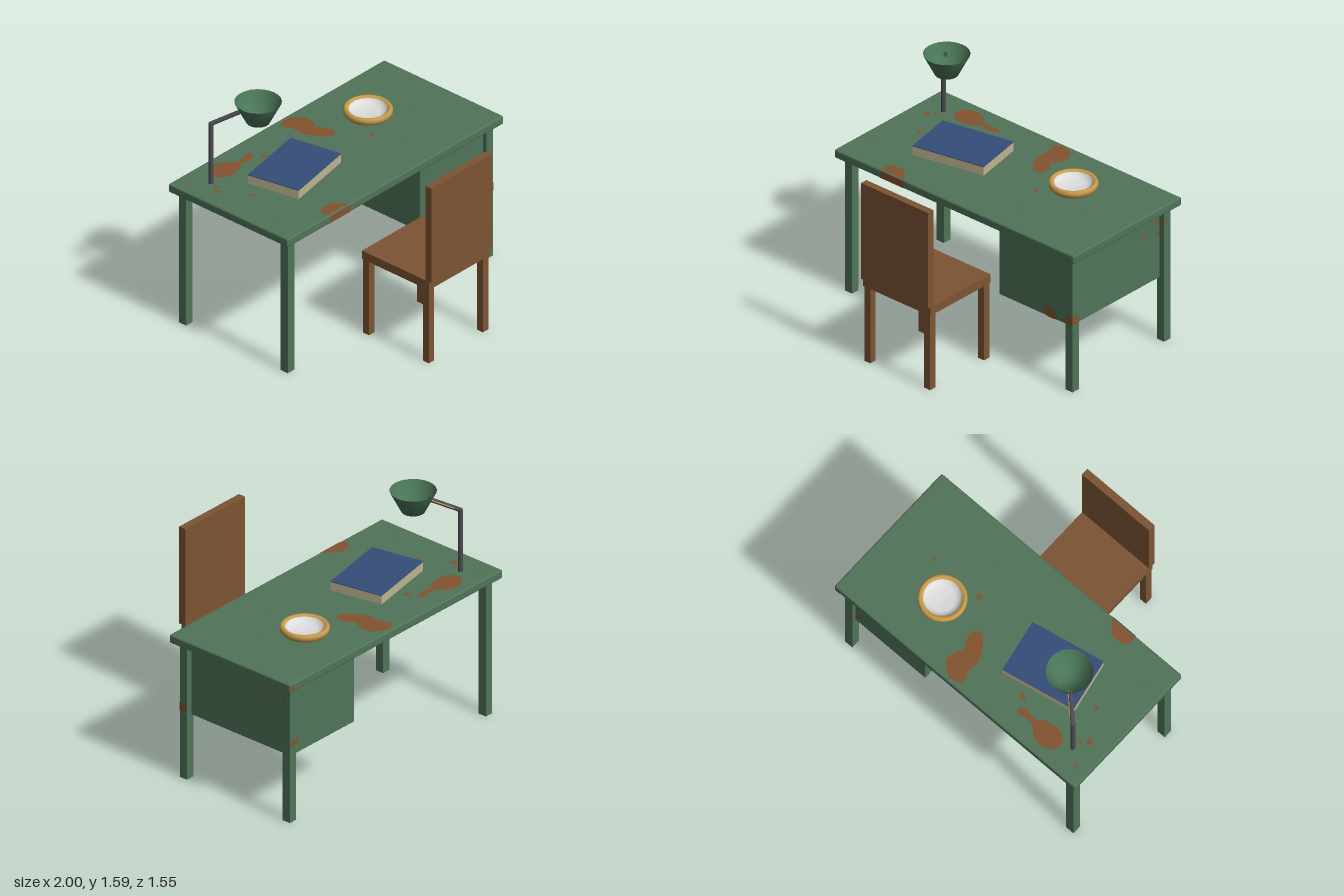
import * as THREE from 'three';
import { RoundedBoxGeometry } from 'three/addons/geometries/RoundedBoxGeometry.js';

const mat = (name, color, side = THREE.FrontSide) => {
  const m = new THREE.MeshStandardMaterial({ color, side });
  m.name = name;
  return m;
};

export function createModel() {
  const M = {
    green: mat('green paint', 0x507459),
    shade: mat('lamp green', 0x4a7657, THREE.DoubleSide),
    rust: mat('rust', 0x83542f, THREE.DoubleSide),
    wood: mat('brown wood', 0x7d5433),
    metal: mat('dark metal', 0x4b4a50),
    gold: mat('gold', 0xc79b4c, THREE.DoubleSide),
    white: mat('white', 0xdedede, THREE.DoubleSide),
    paper: mat('paper', 0xc0b491),
    blue: mat('blue cover', 0x344e78),
  };
  const group = (name, parent) => {
    const g = new THREE.Group();
    g.name = name;
    parent.add(g);
    return g;
  };
  const add = (parent, name, geo, material, x = 0, y = 0, z = 0) => {
    const m = new THREE.Mesh(geo, material);
    m.name = name;
    m.position.set(x, y, z);
    parent.add(m);
    return m;
  };
  // Box given by its limits, with optional rounded edges
  const box = (parent, name, material, [x0, x1], [y0, y1], [z0, z1], r = 0) => {
    const s = [x1 - x0, y1 - y0, z1 - z0];
    const geo = r ? new RoundedBoxGeometry(...s, 2, r) : new THREE.BoxGeometry(...s);
    return add(parent, name, geo, material, (x0 + x1) / 2, (y0 + y1) / 2, (z0 + z1) / 2);
  };
  // Round bar between two points
  const bar = (parent, name, material, a, b, r) => {
    const d = b.clone().sub(a);
    const m = add(parent, name, new THREE.CylinderGeometry(r, r, d.length(), 12), material);
    m.position.copy(a).addScaledVector(d, 0.5);
    m.quaternion.setFromUnitVectors(new THREE.Vector3(0, 1, 0), d.normalize());
  };

  const root = new THREE.Group();
  root.name = 'deskAndChair';

  // Desk
  const desk = group('desk', root);
  box(desk, 'deskTop', M.green, [-1, 1], [0.95, 1.01], [-0.775, 0.225], 0.012);
  box(desk, 'drawerCabinet', M.green, [0.31, 0.91], [0.445, 0.94], [-0.7, 0.15], 0.006);
  for (const x of [-0.92, 0.92]) for (const z of [0.15, -0.7])
    box(desk, 'deskLeg', M.green, [x - 0.03, x + 0.03], [0, 0.95], [z - 0.03, z + 0.03]);

  // Rust patches: flat shapes laid on a face
  const rust = group('rustPatches', desk);
  const blob = (pts, smooth = true) => {
    const v = pts.map(p => new THREE.Vector2(...p));
    if (!smooth) return new THREE.ShapeGeometry(new THREE.Shape(v));
    const c = new THREE.CatmullRomCurve3(v.map(p => new THREE.Vector3(p.x, p.y, 0)), true);
    return new THREE.ShapeGeometry(new THREE.Shape(c.getPoints(40).slice(0, -1).map(p => new THREE.Vector2(p.x, p.y))));
  };
  const spot = (x, y, r) => blob([[x - r, y], [x - r * 0.3, y + r * 0.8], [x + r, y + r * 0.6],
    [x + r * 0.7, y - r * 0.5], [x - r * 0.2, y - r]]);
  // Points in (x, z), (x, y) and (z, y) respectively
  const onLevel = (geo, y) => { add(rust, 'rustPatch', geo, M.rust, 0, y, 0).rotation.x = Math.PI / 2; };
  const onFront = (geo, z) => add(rust, 'rustPatch', geo, M.rust, 0, 0, z);
  const onSide = (geo, x) => { add(rust, 'rustPatch', geo, M.rust, x, 0, 0).rotation.y = -Math.PI / 2; };

  const topPatches = [
    blob([[-0.75, -0.64], [-0.71, -0.69], [-0.64, -0.71], [-0.58, -0.69], [-0.525, -0.64], [-0.455, -0.635],
      [-0.4, -0.645], [-0.39, -0.61], [-0.445, -0.585], [-0.52, -0.6], [-0.56, -0.57], [-0.64, -0.55], [-0.72, -0.57]]),
    blob([[-0.02, -0.72], [0.04, -0.75], [0.09, -0.74], [0.155, -0.675], [0.15, -0.6], [0.12, -0.55],
      [0.16, -0.48], [0.15, -0.415], [0.11, -0.4], [0.04, -0.47], [0, -0.56], [0.005, -0.64]]),
    blob([[-0.62, 0.215], [-0.62, 0.16], [-0.58, 0.125], [-0.5, 0.13], [-0.46, 0.17], [-0.42, 0.215]], false),
    ...[[-0.91, -0.67, 0.012], [-0.87, -0.485, 0.022], [-0.36, -0.545, 0.022], [-0.83, -0.53, 0.014],
      [0.28, -0.23, 0.019], [0.655, -0.23, 0.012], [-0.75, -0.29, 0.016], [0.36, -0.01, 0.009],
      [-0.88, 0.01, 0.009]].map(p => spot(...p)),
  ];
  for (const geo of topPatches) {
    onLevel(geo, 1.012);
    onLevel(geo, 0.948);
  }
  onFront(blob([[-0.62, 0.955], [-0.42, 0.955], [-0.42, 1.005], [-0.61, 1.005]], false), 0.227);
  onFront(blob([[0.95, 0.955], [0.995, 0.955], [0.995, 1], [0.96, 1]], false), -0.777);
  onFront(blob([[0.68, 0.48], [0.7, 0.515], [0.74, 0.515], [0.8, 0.465], [0.79, 0.45], [0.7, 0.45]]), 0.152);
  onFront(blob([[0.89, 0.48], [0.95, 0.47], [0.95, 0.53], [0.91, 0.54], [0.89, 0.53]], false), 0.182);
  onFront(spot(0.92, 0.55, 0.028), -0.732);
  onFront(spot(0.87, 0.54, 0.035), -0.702);
  onSide(blob([[0.12, 0.52], [0.14, 0.47], [0.18, 0.48], [0.18, 0.53], [0.13, 0.535]], false), 0.952);
  onSide(spot(-0.685, 0.86, 0.014), 0.952);
  onSide(spot(-0.717, 0.43, 0.012), 0.952);
  onSide(spot(-0.655, 0.85, 0.025), 0.912);
  onSide(spot(-0.655, 0.76, 0.02), 0.912);
  onSide(spot(-0.525, 0.8, 0.015), 0.912);
  onLevel(spot(0.73, -0.365, 0.06), 0.443);

  // Chair, with its back away from the desk
  const chair = group('chair', root);
  box(chair, 'seat', M.wood, [-0.28, 0.28], [0.535, 0.595], [0.195, 0.755]);
  box(chair, 'backrest', M.wood, [-0.28, 0.28], [0.595, 1.28], [0.725, 0.775]);
  for (const x of [-0.25, 0.25]) for (const z of [0.225, 0.725])
    box(chair, 'chairLeg', M.wood, [x - 0.025, x + 0.025], [0, 0.535], [z - 0.025, z + 0.025]);

  // Desk lamp
  const lamp = group('lamp', root);
  const V = (x, y, z) => new THREE.Vector3(x, y, z);
  const elbow = V(-0.815, 1.44, -0.585), armEnd = V(-0.675, 1.525, -0.45);
  bar(lamp, 'lampPost', M.metal, V(-0.815, 1.01, -0.585), elbow, 0.016);
  bar(lamp, 'lampArm', M.metal, elbow, armEnd, 0.015);
  add(lamp, 'lampElbow', new THREE.SphereGeometry(0.016, 12, 8), M.metal, ...elbow.toArray());
  const shift = V(0.01, 0.003, -0.01);
  bar(lamp, 'armTrim', M.gold, elbow.clone().lerp(armEnd, 0.2).add(shift), armEnd.clone().add(shift), 0.004);
  const shade = [[0, 0], [0.075, 0], [0.148, 0.145]].map(p => new THREE.Vector2(...p));
  add(lamp, 'lampShade', new THREE.LatheGeometry(shade, 24), M.shade, -0.605, 1.445, -0.38);

  // Book lying at an angle
  const book = group('book', root);
  book.position.set(-0.378, 1.01, -0.28);
  book.rotation.y = 0.195;
  box(book, 'pages', M.paper, [-0.257, 0.257], [0, 0.06], [-0.183, 0.183]);
  box(book, 'cover', M.blue, [-0.257, 0.257], [0.06, 0.065], [-0.183, 0.183]);

  // Shallow dish with a white inside
  const dish = group('dish', root);
  dish.position.set(0.435, 1.01, -0.4);
  const outer = [[0, 0.002], [0.105, 0.003], [0.14, 0.012], [0.156, 0.032], [0.156, 0.05], [0.148, 0.064],
    [0.136, 0.065], [0.122, 0.054]].map(p => new THREE.Vector2(...p));
  const inner = [[0.122, 0.054], [0.108, 0.034], [0.08, 0.022], [0, 0.018]].map(p => new THREE.Vector2(...p));
  add(dish, 'dishRim', new THREE.LatheGeometry(outer, 32), M.gold);
  add(dish, 'dishInside', new THREE.LatheGeometry(inner, 32), M.white);

  return root;
}
